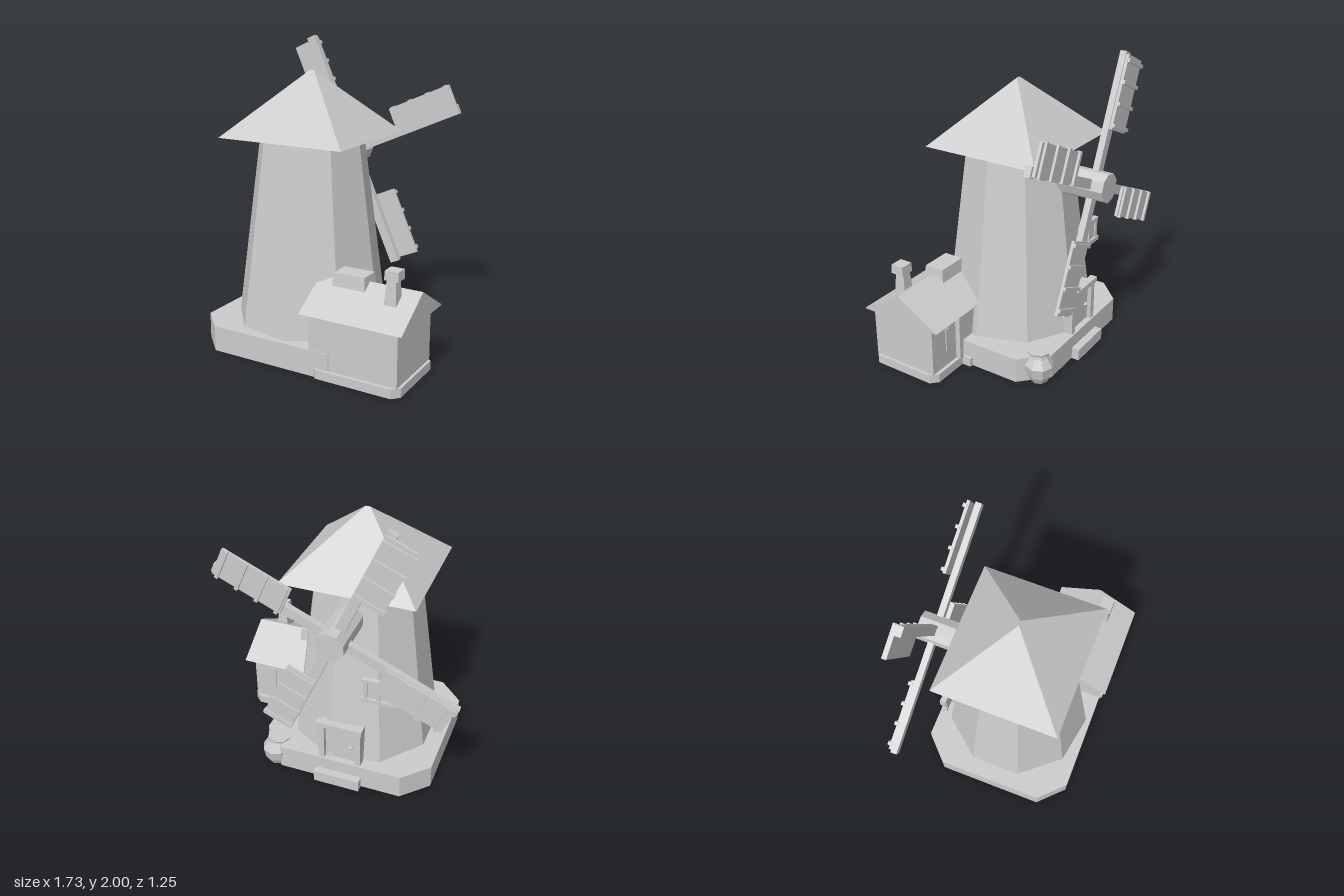
import * as THREE from 'three';
import { ConvexGeometry } from 'three/addons/geometries/ConvexGeometry.js';

const CX = -0.075, CZ = 0.05; // tower axis

export function createModel() {
  const root = new THREE.Group();
  root.name = 'windmill';
  const grey = new THREE.MeshStandardMaterial({ color: 0xcccccc, flatShading: true, side: THREE.DoubleSide });
  grey.name = 'plain grey';

  const add = (name, geometry, parent = root) => {
    const mesh = new THREE.Mesh(geometry, grey);
    mesh.name = name;
    parent.add(mesh);
    return mesh;
  };
  // Box given by its minimum and maximum on each axis
  const box = (name, [x0, x1], [y0, y1], [z0, z1], parent = root) => {
    const mesh = add(name, new THREE.BoxGeometry(x1 - x0, y1 - y0, z1 - z0), parent);
    mesh.position.set((x0 + x1) / 2, (y0 + y1) / 2, (z0 + z1) / 2);
    return mesh;
  };
  const hull = (name, points) =>
    add(name, new ConvexGeometry(points.map((p) => new THREE.Vector3(...p))));
  // Hollow platform, open below: walls along an x, z outline and a flat top
  const platform = (name, outline, height, [cx, cz]) => {
    const points = [];
    outline.forEach(([ax, az], i) => {
      const [bx, bz] = outline[(i + 1) % outline.length];
      points.push(
        [cx, height, cz], [bx, height, bz], [ax, height, az],
        [ax, height, az], [bx, height, bz], [bx, 0, bz],
        [ax, height, az], [bx, 0, bz], [ax, 0, az],
      );
    });
    const geometry = new THREE.BufferGeometry();
    geometry.setAttribute('position', new THREE.Float32BufferAttribute(points.flat(), 3));
    geometry.computeVertexNormals();
    return add(name, geometry);
  };
  // Four-sided block, narrower at the top by t on each side
  const taperedBlock = (name, [x0, x1], [y0, y1], [z0, z1], t) =>
    hull(name, [[y0, 0], [y1, t]].flatMap(([y, i]) => [
      [x0 + i, y, z0 + i], [x1 - i, y, z0 + i], [x1 - i, y, z1 - i], [x0 + i, y, z1 - i],
    ]));

  // Base with cut corners
  platform('base', [
    [-0.502, -0.487], [0.354, -0.487], [0.522, -0.32], [0.522, 0.42],
    [0.354, 0.588], [-0.502, 0.588], [-0.67, 0.42], [-0.67, -0.32],
  ], 0.17, [CX, CZ]);

  // Nine-sided tower
  const tower = add('tower', new THREE.CylinderGeometry(0.346, 0.511, 1.235, 9));
  tower.position.set(CX, 0.7875, CZ);
  tower.rotation.y = Math.PI / 2;

  // Tower roof with a tiny ridge
  hull('towerRoof', [
    [-0.522, 1.405, -0.36], [0.372, 1.405, -0.36], [0.372, 1.405, 0.463], [-0.522, 1.405, 0.463],
    [CX - 0.015, 1.82, CZ], [CX + 0.015, 1.82, CZ],
  ]);

  // Hub and four sails at the back
  const hub = add('hub', new THREE.CylinderGeometry(0.098, 0.098, 0.43, 9).rotateY(Math.PI / 2).rotateX(-Math.PI / 2));
  hub.position.set(CX, 1.21, -0.412);
  const sails = new THREE.Group();
  sails.name = 'sails';
  sails.position.set(CX, 1.21, 0);
  root.add(sails);
  for (let i = 0; i < 4; i++) {
    const sail = new THREE.Group();
    sail.name = 'sail';
    sail.rotation.z = THREE.MathUtils.degToRad(24) + i * Math.PI / 2;
    sails.add(sail);
    box('spar', [0, 0.852], [-0.032, 0.032], [-0.543, -0.5], sail);
    box('sailPanel', [0.36, 0.835], [-0.025, 0.174], [-0.563, -0.542], sail);
    for (let k = 0; k < 4; k++) {
      const u = 0.385 + k * 0.138;
      box('sailRib', [u - 0.012, u + 0.012], [-0.03, 0.18], [-0.579, -0.55], sail);
    }
  }

  // Tower door with frame, knob and step
  box('door', [-0.19, 0.045], [0.17, 0.44], [-0.445, -0.36]);
  for (const x of [-0.22, 0.035]) box('doorJamb', [x, x + 0.04], [0.17, 0.445], [-0.475, -0.38]);
  box('doorLintel', [-0.23, 0.085], [0.44, 0.475], [-0.488, -0.44]);
  const knob = add('doorKnob', new THREE.IcosahedronGeometry(0.016, 0));
  knob.position.set(-0.145, 0.29, -0.453);
  box('doorStep', [-0.23, 0.09], [0, 0.08], [-0.54, -0.37]);

  // Tower window with sill and bars
  box('windowPane', [-0.4, -0.21], [0.68, 0.82], [-0.372, -0.35]);
  for (const x of [-0.405, -0.318, -0.23]) box('windowBar', [x, x + 0.025], [0.68, 0.82], [-0.382, -0.36]);
  box('windowHead', [-0.41, -0.195], [0.805, 0.83], [-0.385, -0.35]);
  box('windowSill', [-0.42, -0.19], [0.655, 0.685], [-0.388, -0.35]);

  // Side house on an L-shaped slab
  platform('houseSlab', [
    [0.232, 0.02], [0.546, 0.02], [0.546, 0.085], [0.792, 0.085], [0.838, 0.13],
    [0.838, 0.56], [0.792, 0.606], [0.277, 0.606], [0.232, 0.56],
  ], 0.06, [0.5, 0.3]);
  box('houseWalls', [0.215, 0.82], [0.055, 0.41], [0.11, 0.58]);
  hull('houseRoof', [0.17, 0.863].flatMap((x) => [[x, 0.41, 0.037], [x, 0.41, 0.625], [x, 0.59, 0.332]]));
  taperedBlock('roofBox', [0.28, 0.515], [0.51, 0.63], [0.25, 0.41], 0.012);
  taperedBlock('chimney', [0.666, 0.75], [0.49, 0.68], [0.375, 0.46], 0.012);
  taperedBlock('chimneyCap', [0.668, 0.762], [0.67, 0.73], [0.373, 0.465], 0.003);

  // House back door and narrow window
  for (const x of [0.35, 0.545]) box('houseDoorPost', [x, x + 0.035], [0.06, 0.4], [0.075, 0.12]);
  box('houseDoorBeam', [0.35, 0.58], [0.365, 0.4], [0.075, 0.12]);
  box('houseDoor', [0.38, 0.55], [0.06, 0.37], [0.095, 0.12]);
  box('houseWindow', [0.655, 0.685], [0.17, 0.33], [0.102, 0.12]);

  // Lidded jar at the corner of the base
  const profile = [[0, 0], [0.055, 0], [0.08, 0.045], [0.095, 0.12], [0.06, 0.18], [0.055, 0.2]]
    .map(([r, y]) => new THREE.Vector2(r, y));
  const jar = add('jar', new THREE.LatheGeometry(profile, 8));
  jar.position.set(0.412, 0, -0.432);
  const lid = add('jarLid', new THREE.CylinderGeometry(0.082, 0.078, 0.012, 8));
  lid.position.set(0.392, 0.204, -0.414);

  return root;
}
